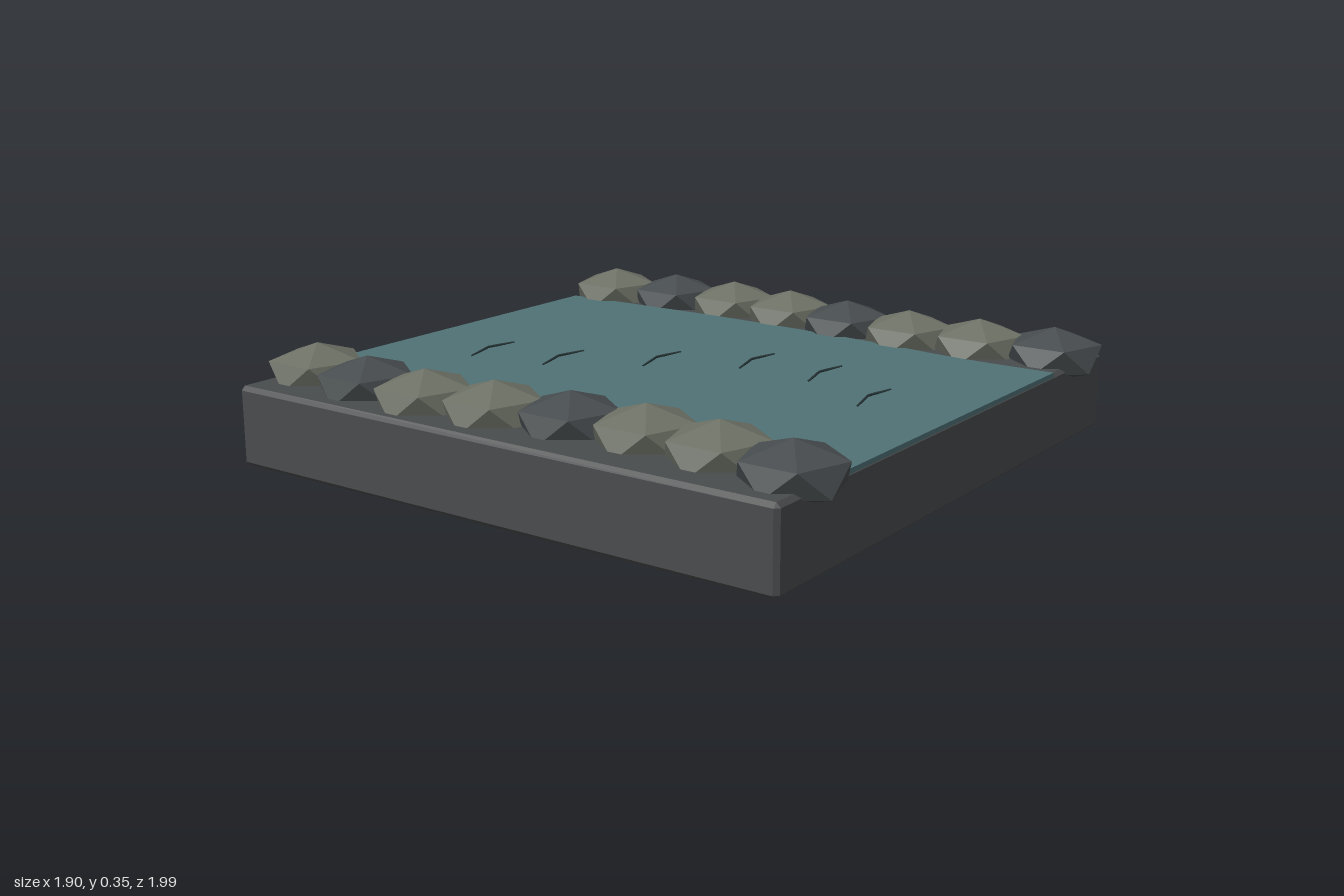
import * as THREE from 'three';
import { ConvexGeometry } from 'three/addons/geometries/ConvexGeometry.js';

const material = (name, color) => {
  const m = new THREE.MeshStandardMaterial({ color });
  m.name = name;
  return m;
};

// Icosahedron standing on a corner, with one upper corner pointing to +x
function stoneGeometry(radius, halfHeight) {
  const points = [new THREE.Vector3(0, halfHeight, 0), new THREE.Vector3(0, -halfHeight, 0)];
  for (let i = 0; i < 10; i++) {
    const a = (i * Math.PI) / 5;
    const y = (i % 2 ? -0.447 : 0.447) * halfHeight;
    points.push(new THREE.Vector3(Math.cos(a) * radius * 0.894, y, Math.sin(a) * radius * 0.894));
  }
  return new ConvexGeometry(points);
}

// Block with chamfers along every edge
function slabGeometry(width, height, depth, c) {
  const points = [];
  for (const x of [-1, 1]) for (const y of [-1, 1]) for (const z of [-1, 1]) {
    const X = (x * width) / 2, Y = (y * height) / 2, Z = (z * depth) / 2;
    points.push(
      new THREE.Vector3(X, Y - y * c, Z - z * c),
      new THREE.Vector3(X - x * c, Y, Z - z * c),
      new THREE.Vector3(X - x * c, Y - y * c, Z)
    );
  }
  return new ConvexGeometry(points);
}

export function createModel() {
  const group = new THREE.Group();
  group.name = 'riverTile';

  const ground = material('ground', 0x494c4d);
  const water = material('water', 0x4f7276);
  const paleStone = material('paleStone', 0x6c7065);
  const darkStone = material('darkStone', 0x474c4e);
  const rippleDark = material('ripple', 0x2c3b3d);

  const add = (name, geometry, mat, x = 0, y = 0, z = 0) => {
    const mesh = new THREE.Mesh(geometry, mat);
    mesh.name = name;
    mesh.position.set(x, y, z);
    group.add(mesh);
    return mesh;
  };

  // Ground block
  add('groundSlab', slabGeometry(1.9, 0.246, 1.9, 0.013), ground, 0, 0.123, -0.01);

  // River surface with gently winding banks
  const back = -0.963, front = 0.945, steps = 6;
  const leftBank = [0.625, 0.635, 0.64, 0.63, 0.61, 0.575, 0.575];
  const rightBank = [-0.58, -0.58, -0.615, -0.635, -0.635, -0.635, -0.64];
  const bankPoints = (xs) =>
    new THREE.SplineCurve(
      xs.map((x, i) => new THREE.Vector2(x, -(back + ((front - back) * i) / steps)))
    ).getPoints(18);
  const outline = [...bankPoints(rightBank), ...bankPoints(leftBank).reverse()];
  const river = new THREE.ExtrudeGeometry(new THREE.Shape(outline), {
    depth: 0.014,
    bevelEnabled: false,
  });
  river.rotateX(-Math.PI / 2);
  add('riverSurface', river, water, 0, 0.24, 0);

  // Rows of stones along both banks
  const stone = stoneGeometry(0.164, 0.086);
  const rows = {
    rightBankStone: [-0.727, -0.76, -0.775, -0.755, -0.72, -0.705, -0.72, -0.755],
    leftBankStone: [0.737, 0.77, 0.782, 0.765, 0.735, 0.718, 0.737, 0.765],
  };
  for (const [name, xs] of Object.entries(rows)) {
    xs.forEach((x, i) =>
      add(name, stone, i % 3 === 1 ? darkStone : paleStone, x, 0.264, -0.857 + i * 0.245)
    );
  }

  // Thin bent ripples following the current
  const ripplePath = new THREE.CurvePath();
  const a = new THREE.Vector3(-0.115, 0, 0.017);
  const b = new THREE.Vector3(0, 0.005, -0.012);
  const c = new THREE.Vector3(0.11, 0, 0);
  ripplePath.add(new THREE.LineCurve3(a, b));
  ripplePath.add(new THREE.LineCurve3(b, c));
  const ripple = new THREE.TubeGeometry(ripplePath, 8, 0.004, 5, false);
  const rippleSpots = [
    [-0.185, -0.648], [-0.145, -0.39], [0.022, -0.13],
    [0.172, 0.127], [0.158, 0.383], [0, 0.644],
  ];
  for (const [x, z] of rippleSpots) add('ripple', ripple, rippleDark, x, 0.254, z);

  return group;
}
